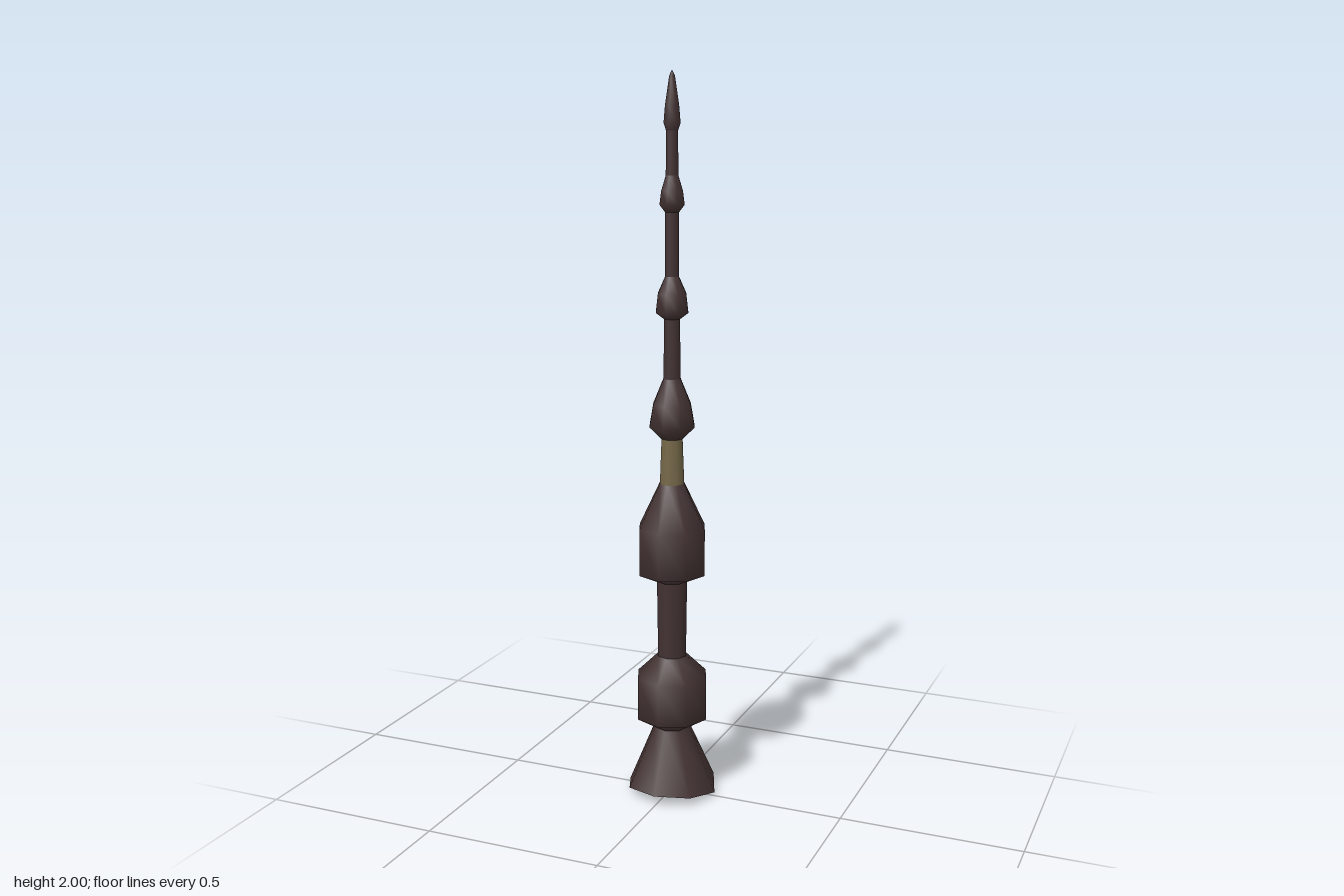
import * as THREE from 'three';

const darkWood = new THREE.MeshStandardMaterial({ color: 0x433232 });
darkWood.name = 'darkWood';
const brass = new THREE.MeshStandardMaterial({ color: 0x756848 });
brass.name = 'brass';

const SIDES = 8;
const RIM = 0.13;

// Octagonal turned part; profile is [radius, height] from bottom to top
function turned(name, profile, material = darkWood) {
  const points = profile.map(([r, y]) => new THREE.Vector2(r, y));
  const mesh = new THREE.Mesh(new THREE.LatheGeometry(points, SIDES), material);
  mesh.name = name;
  return mesh;
}

// Lifts the foot rim towards front and back, leaving a shallow ridge along x
function bendRim(mesh) {
  const p = mesh.geometry.attributes.position;
  for (let i = 0; i < p.count; i++) {
    const x = p.getX(i), z = p.getZ(i);
    if (Math.hypot(x, z) > RIM - 0.01) p.setY(i, 0.01 + 0.02 * Math.abs(z) / RIM);
  }
  return mesh;
}

export function createModel() {
  const group = new THREE.Group();
  group.name = 'spire';

  // Flared foot
  group.add(bendRim(turned('footUnderside', [[0, 0], [RIM, 0.01]])));
  group.add(bendRim(turned('foot', [[RIM, 0.01], [0.052, 0.195]])));

  // Stacked knobs and shafts, bottom to top
  group.add(turned('lowerKnob', [[0.052, 0.195], [0.103, 0.225], [0.103, 0.345], [0.042, 0.405]]));
  group.add(turned('lowerShaft', [[0.042, 0.405], [0.045, 0.622]]));
  group.add(turned('middleKnob', [[0.045, 0.622], [0.097, 0.645], [0.097, 0.775], [0.036, 0.9]]));
  group.add(turned('collar', [[0.036, 0.9], [0.031, 1.025]], brass));
  group.add(turned('upperKnob', [[0.031, 1.025], [0.066, 1.06], [0.055, 1.12], [0.025, 1.19]]));
  group.add(turned('upperShaft', [[0.025, 1.19], [0.023, 1.352]]));
  group.add(turned('smallKnob', [[0.023, 1.352], [0.047, 1.37], [0.041, 1.42], [0.02, 1.465]]));
  group.add(turned('thinShaft', [[0.02, 1.465], [0.02, 1.635]]));
  group.add(turned('tinyKnob', [[0.02, 1.635], [0.036, 1.655], [0.031, 1.69], [0.018, 1.73]]));
  group.add(turned('topShaft', [[0.018, 1.73], [0.017, 1.845]]));
  group.add(turned('tip', [[0.017, 1.845], [0.024, 1.865], [0.02, 1.91], [0.008, 1.985], [0, 2]]));

  return group;
}
